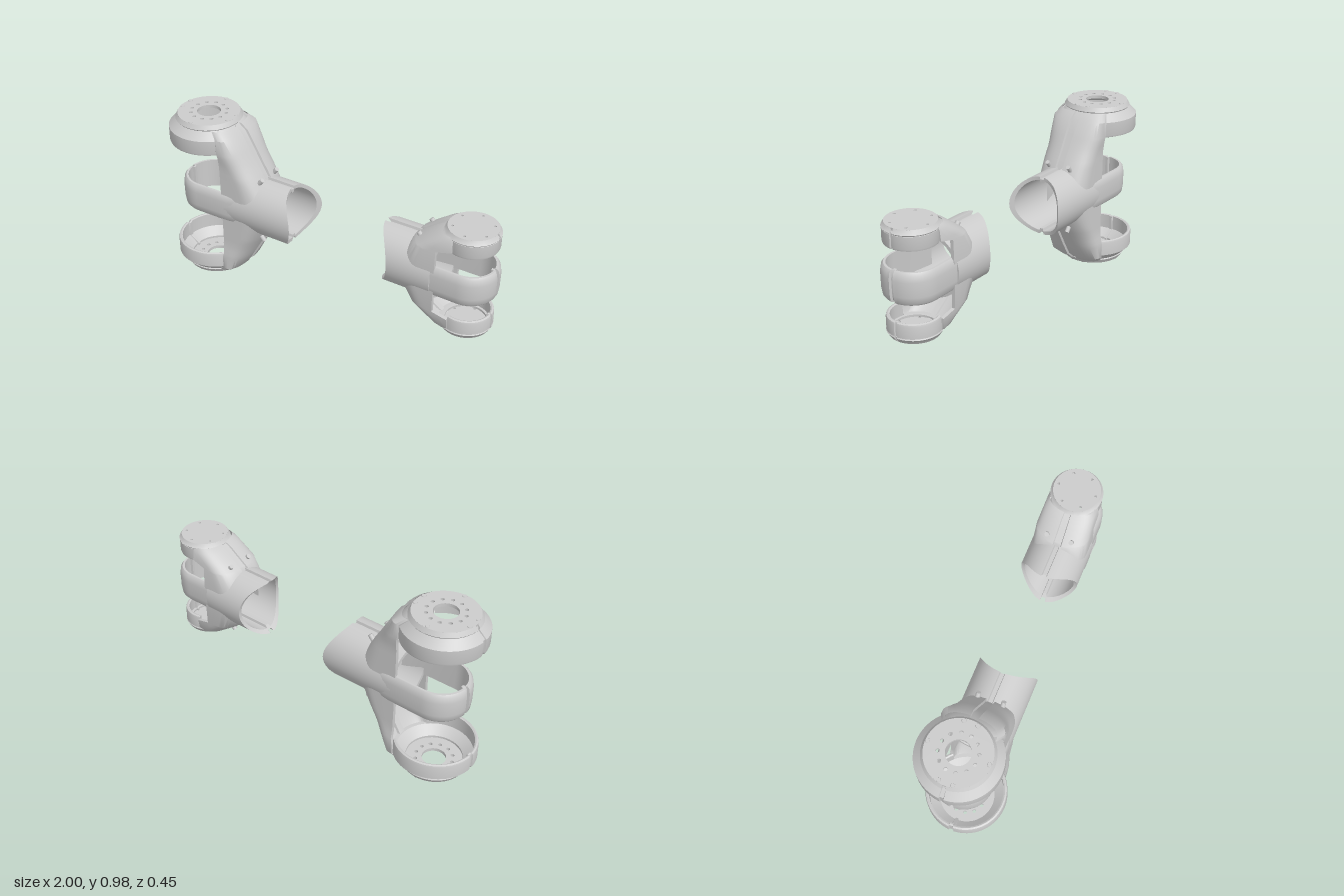
import * as THREE from 'three';
import { toCreasedNormals } from 'three/addons/utils/BufferGeometryUtils.js';

const MAT = new THREE.MeshStandardMaterial({ color: 0xcccccc, side: THREE.DoubleSide });
const MID = 0.4875; // height of the symmetry plane
const T = 0.02;     // shell thickness
const NOTCH = 0.014; // depth of the seam between the two halves

function mesh(geo, name, parent) {
  const m = new THREE.Mesh(geo, MAT);
  m.name = name;
  parent.add(m);
  return m;
}

// Skin a list of equal-length point rows; either direction may close on itself
function loft(rows, closeRow, closeLoft) {
  const n = rows[0].length, m = rows.length, idx = [];
  for (let i = 0; i < (closeLoft ? m : m - 1); i++) {
    for (let j = 0; j < (closeRow ? n : n - 1); j++) {
      const a = i * n + j, b = i * n + (j + 1) % n;
      const c = ((i + 1) % m) * n + j, d = ((i + 1) % m) * n + (j + 1) % n;
      idx.push(a, c, b, b, c, d);
    }
  }
  const g = new THREE.BufferGeometry();
  g.setAttribute('position', new THREE.Float32BufferAttribute(rows.flat(2), 3));
  g.setIndex(idx);
  return toCreasedNormals(g, 0.6);
}

// Angles from a to b with a narrow notch at each seam: [angle, inward depth]
function notchedAngles(a, b, seams, half, steps = 36) {
  const list = [];
  for (let i = 0; i <= steps; i++) {
    const t = a + (b - a) * i / steps;
    if (seams.every(s => Math.abs(t - s) > half * 1.4)) list.push([t, 0]);
  }
  for (const s of seams) {
    list.push([s - half, 0], [s - half * 0.8, NOTCH], [s + half * 0.8, NOTCH], [s + half, 0]);
  }
  return list.sort((p, q) => p[0] - q[0]);
}

// Linear lookup in rows sorted by falling height: [y, reach, halfWidth]
function lookup(table, y, k) {
  if (y >= table[0][0]) return table[0][k];
  for (let i = 1; i < table.length; i++) {
    const p = table[i - 1], q = table[i];
    if (y >= q[0]) return q[k] + (p[k] - q[k]) * (y - q[0]) / (p[0] - q[0]);
  }
  return table[table.length - 1][k];
}

// Horizontal tube with a saddle-cut mouth
function tubeGeo(p) {
  const rows = notchedAngles(-Math.PI, Math.PI, [-Math.PI / 2, Math.PI / 2], 0.09, 48).map(([a, d]) => {
    const pt = (off, end) => {
      const y = Math.sin(a) * (0.172 - off - d), z = Math.cos(a) * (0.166 - off - d);
      return [end ? p.mouth(y, z) : p.slot + 0.02, y, z];
    };
    return [pt(0, 0), pt(0, 1), pt(T, 1), pt(T, 0)];
  });
  return loft(rows, true, false);
}

// Hollow sloping arm: U-shaped sections that land on the tube
function armGeo(p) {
  const ends = notchedAngles(-Math.PI / 2, Math.PI / 2, [0], 0.11, 20);
  const ys = [p.arm[0][0], p.arm[1][0], p.cup0 + 0.015, p.cup0 - 0.006];
  for (let i = 1; i <= 4; i++) ys.push(p.cup0 + (0.18 - p.cup0) * i / 4);
  ys.push(null);
  const rows = ys.map(row => {
    const yr = row === null ? 0.1 : row;
    const start0 = yr > p.cup0 ? p.R * Math.cos(p.gap) : p.slot;
    const side = off => {
      const w = lookup(p.arm, yr, 2) - off;
      const place = (fx, z, d) => {
        const y = row === null ? Math.sqrt(Math.max(0, 0.0276 - z * z)) - 0.004 : row;
        const reach = lookup(p.arm, y, 1) - off;
        const start = Math.min(start0, reach - 0.08);
        const a = Math.min(0.11, (reach - start) * 0.8);
        return [fx < 0 ? start + (fx + 1) * (reach - a - start) : reach - a + a * fx - d, y, z];
      };
      return [
        place(-1, -w, 0), place(-0.5, -w, 0),
        ...ends.map(([t, d]) => place(Math.max(0, Math.cos(t)) ** 0.85, w * Math.sign(Math.sin(t)) * Math.abs(Math.sin(t)) ** 0.85, d)),
        place(-0.5, w, 0), place(-1, w, 0),
      ];
    };
    return [...side(0), ...side(T).reverse()];
  });
  return loft(rows, true, false);
}

// Profile revolved about the cup axis between two angles, with the front seam
function revolve(profile, a, b, closed) {
  const rows = notchedAngles(a, b, [Math.PI], 0.06, 48).map(([t, d]) =>
    profile.map(([r, y]) => [Math.cos(t) * (r - d * 0.6), y, Math.sin(t) * (r - d * 0.6)]));
  return loft(rows, closed, false);
}

// Middle band: a bulged section swept along a U
function bandGeo(p) {
  const h = 0.0865, r = p.band, leg = p.slot + 0.15;
  const section = [[-0.01, -h], [0, -h + 0.012], [0.005, -0.04], [0.006, 0.04],
    [0, h - 0.012], [-0.01, h], [-0.022, h], [-0.022, -h]];
  const path = [[leg, 0.145, 0, 1, 0], [p.slot + 0.04, r - 0.002, 0, 1, 0]];
  for (const [t, d] of notchedAngles(Math.PI / 2, Math.PI * 1.5, [Math.PI], 0.08, 30)) {
    path.push([Math.cos(t) * r, Math.sin(t) * r, Math.cos(t), Math.sin(t), d]);
  }
  path.push([p.slot + 0.04, 0.002 - r, 0, -1, 0], [leg, -0.145, 0, -1, 0]);
  return loft(path.map(([x, z, nx, nz, d]) =>
    section.map(([o, y]) => [x + nx * (o - d), y, z + nz * (o - d)])), true, false);
}

// Round cover plate with a bore and small holes
function plateGeo(p) {
  const s = new THREE.Shape().absarc(0, 0, p.plate, 0, Math.PI * 2);
  const hole = (x, y, r) => s.holes.push(new THREE.Path().absarc(x, y, r, 0, Math.PI * 2, true));
  if (p.bore) hole(0, 0, p.bore);
  for (let i = 0; i < p.holes; i++) {
    const a = (i + 0.5) / p.holes * Math.PI * 2;
    hole(Math.cos(a) * p.holeRing, Math.sin(a) * p.holeRing, p.holeR);
  }
  const g = new THREE.ExtrudeGeometry(s, { depth: 0.018, bevelEnabled: false, curveSegments: 32 });
  g.rotateX(-Math.PI / 2);
  return g.translate(0, p.top - 0.018, 0);
}

// One half-fork: arm, cup, cover and screws
function prong(p, name) {
  const g = new THREE.Group();
  g.name = name;
  mesh(armGeo(p), 'arm', g);
  const wall = [[p.R - 0.012, p.cup0], [p.R - 0.003, p.cup0 + 0.004], [p.R, p.cup0 + 0.014],
    [p.R, p.shoulder], [p.R - T, p.shoulder], [p.R - T, p.cup0 + 0.004]];
  mesh(revolve(wall, p.gap, Math.PI * 2 - p.gap, true), 'cupWall', g);
  const rim = p.plate + 0.014;
  const roof = [[p.R, p.shoulder], [rim - 0.004, p.top - 0.03], [rim, p.top - 0.024], [p.plate, p.top],
    [p.plate - 0.02, p.top - 0.018], [p.plate - 0.02, p.top - 0.03], [p.R - T, p.shoulder]];
  mesh(revolve(roof, 0, Math.PI * 2, true), 'cupShoulder', g);
  mesh(plateGeo(p), 'coverPlate', g);
  for (const a of p.bolts) {
    const b = mesh(new THREE.CylinderGeometry(0.011, 0.014, 0.008, 10), 'plateScrew', g);
    b.position.set(Math.cos(a) * 0.16, p.top, Math.sin(a) * 0.16);
  }
  for (const z of [-0.07, 0.07]) {
    const b = mesh(new THREE.CylinderGeometry(0.013, 0.013, 0.05, 10), 'armScrew', g);
    b.position.set(p.screw[0], p.screw[1], z);
    b.rotation.z = -0.7;
  }
  return g;
}

function fork(p, name) {
  const g = new THREE.Group();
  g.name = name;
  mesh(tubeGeo(p), 'tube', g);
  mesh(bandGeo(p), 'middleBand', g);
  const lower = prong(p, 'lowerProng');
  lower.rotation.x = Math.PI;
  g.add(prong(p, 'upperProng'), lower);
  g.position.set(p.x, MID, 0);
  return g;
}

export function createModel() {
  const model = new THREE.Group();
  model.name = 'forkBrackets';
  const q = Math.PI;
  // Large fork; local +x runs from the cup axis towards the tube mouth
  const large = fork({
    x: -0.775, R: 0.225, gap: 0.75, slot: 0.17, band: 0.162,
    cup0: 0.322, shoulder: 0.412, top: 0.484, plate: 0.172,
    arm: [[0.455, 0.2, 0.14], [0.42, 0.24, 0.165], [0.33, 0.293, 0.168], [0.26, 0.333, 0.157], [0.19, 0.375, 0.156], [0.1, 0.42, 0.155]],
    bore: 0.065, holes: 12, holeRing: 0.1, holeR: 0.01,
    bolts: [q / 2, -q / 2, 0.23, -0.23, q - 0.23, q + 0.23], screw: [0.378, 0.18],
    mouth: (y, z) => 0.755 - Math.sqrt(0.0441 - z * z),
  }, 'largeFork');
  // Small fork, turned to face the large one
  const small = fork({
    x: 0.843, R: 0.142, gap: 1.25, slot: 0.128, band: 0.151,
    cup0: 0.193, shoulder: 0.272, top: 0.303, plate: 0.13,
    arm: [[0.284, 0.14, 0.125], [0.265, 0.18, 0.14], [0.18, 0.295, 0.152], [0.1, 0.34, 0.155]],
    bore: 0, holes: 6, holeRing: 0.105, holeR: 0.007,
    bolts: [], screw: [0.25, 0.195],
    mouth: (y, z) => 0.6 - Math.sqrt(0.042 - y * y),
  }, 'smallFork');
  small.rotation.y = Math.PI;
  model.add(large, small);
  return model;
}
